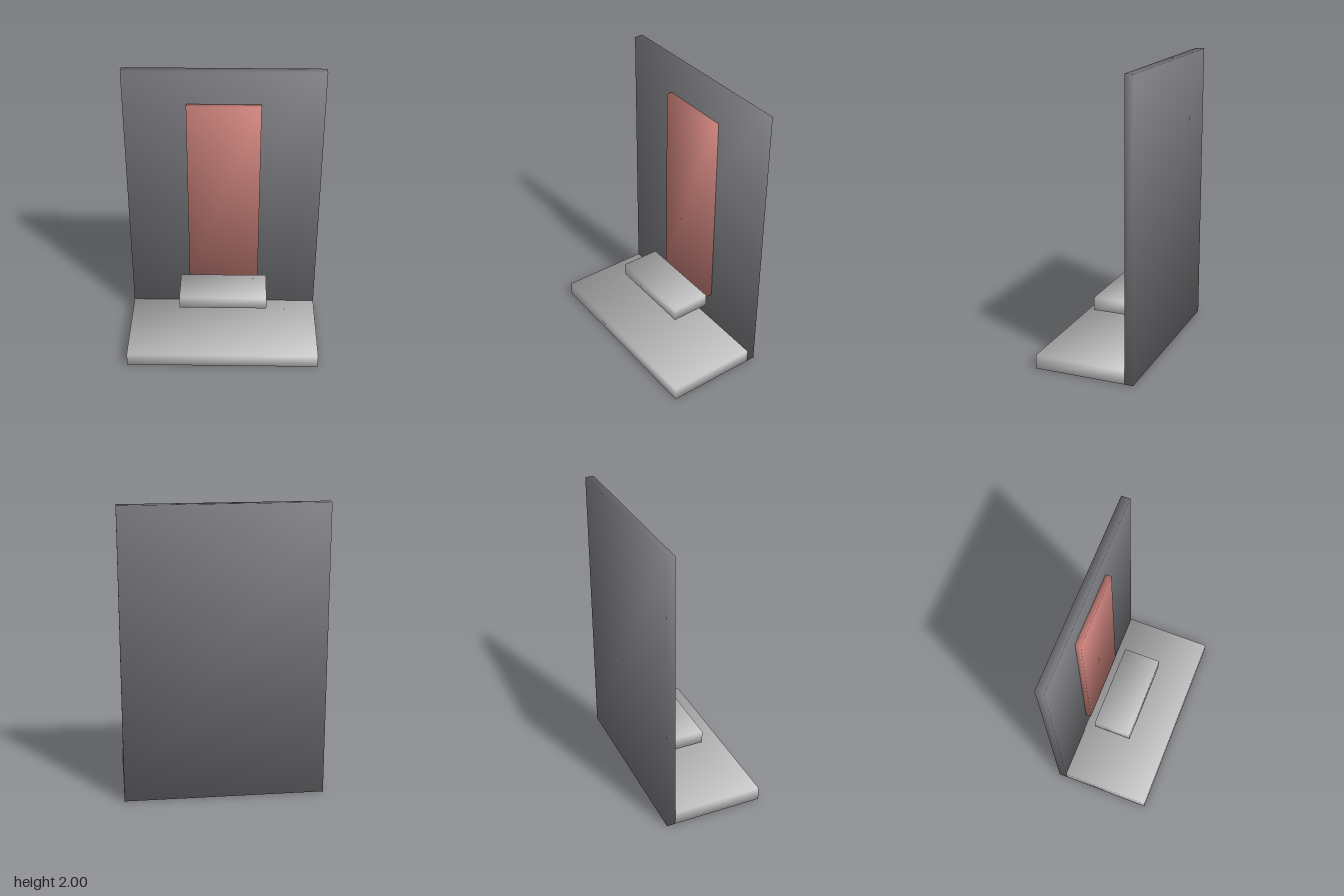
import * as THREE from 'three';

// Box given by its limits, with corner normals pointing outward along the
// diagonals so the shading rolls softly over every edge
function softBox(name, color, [x0, x1], [y0, y1], [z0, z1]) {
  const geometry = new THREE.BoxGeometry(x1 - x0, y1 - y0, z1 - z0);
  const { position, normal } = geometry.attributes;
  const corner = new THREE.Vector3();
  for (let i = 0; i < position.count; i++) {
    corner.fromBufferAttribute(position, i);
    corner.set(Math.sign(corner.x), Math.sign(corner.y), Math.sign(corner.z)).normalize();
    normal.setXYZ(i, corner.x, corner.y, corner.z);
  }
  const mesh = new THREE.Mesh(geometry, new THREE.MeshStandardMaterial({ color }));
  mesh.name = name;
  mesh.position.set((x0 + x1) / 2, (y0 + y1) / 2, (z0 + z1) / 2);
  return mesh;
}

export function createModel() {
  const group = new THREE.Group();
  group.name = 'displayStand';
  const grey = 0xcccccc, dark = 0x7a7b7f, red = 0xc9807a;

  group.add(
    // Floor slab in front of the upright panel
    softBox('base', grey, [-0.682, 0.682], [0, 0.095], [-0.287, 0.347]),
    // Tall upright panel at the back
    softBox('backPanel', dark, [-0.682, 0.682], [0, 2], [-0.347, -0.287]),
    // Raised strip on the face of the panel
    softBox('frontStrip', red, [-0.253, 0.253], [0.323, 1.763], [-0.287, -0.248]),
    // Free-standing shelf block above the base
    softBox('shelf', grey, [-0.312, 0.312], [0.318, 0.408], [-0.19, 0.085]),
  );
  return group;
}
